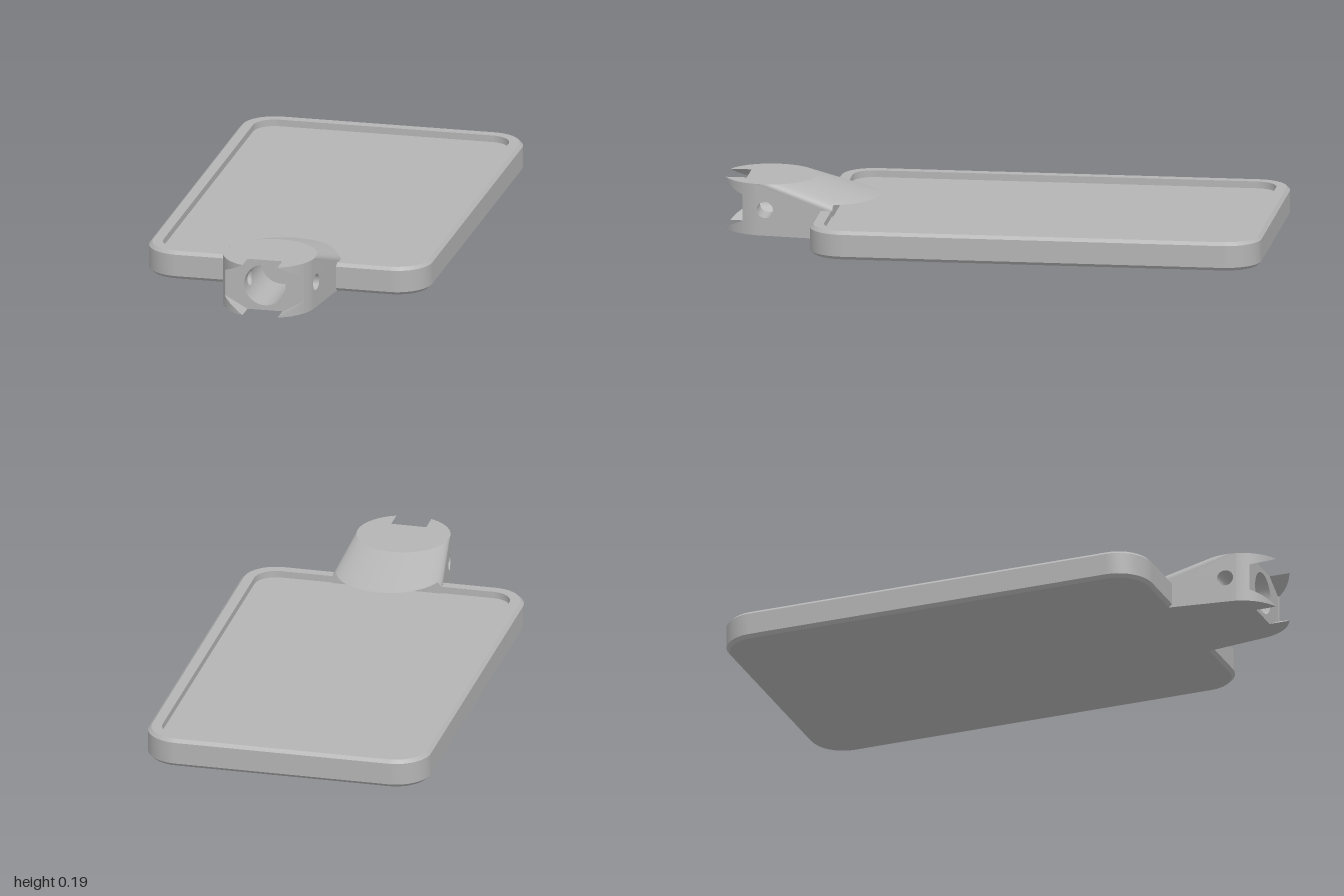
import * as THREE from 'three';

const V = (x, y, z) => new THREE.Vector3(x, y, z);
const range = (n, f) => Array.from({ length: n + 1 }, (_, i) => f(i / n));

// Surface through rows of points (all rows equally long)
function sheet(rows) {
  const n = rows[0].length, index = [];
  for (let r = 0; r < rows.length - 1; r++)
    for (let c = 0; c < n - 1; c++) {
      const a = r * n + c, b = a + n;
      index.push(a, a + 1, b, a + 1, b + 1, b);
    }
  const g = new THREE.BufferGeometry().setFromPoints(rows.flat());
  g.setIndex(index);
  g.computeVertexNormals();
  return g;
}

// Horizontal face at height y from [x, z] points
function flat(points, y, up = true) {
  const s = up ? -1 : 1;
  const shape = new THREE.Shape(points.map(([x, z]) => new THREE.Vector2(x, s * z)));
  return new THREE.ShapeGeometry(shape).rotateX(s * Math.PI / 2).translate(0, y, 0);
}

export function createModel() {
  const grey = new THREE.MeshStandardMaterial({ color: 0xb4b4b4, side: THREE.DoubleSide });
  const model = new THREE.Group();
  const group = (name) => {
    const g = new THREE.Group();
    g.name = name;
    model.add(g);
    return g;
  };
  const add = (parent, name, geometry) => {
    const m = new THREE.Mesh(geometry, grey);
    m.name = name;
    parent.add(m);
  };

  // ---- Tray: rounded rectangle with chamfered edges and a shallow recess
  const tray = group('tray');
  const contour = (inset) => {
    const r = 0.13 - inset, pts = [];
    [[1, 1], [-1, 1], [-1, -1], [1, -1]].forEach(([sx, sz], k) => {
      for (let i = 0; i <= 10; i++) {
        const a = (k + i / 10) * Math.PI / 2;
        pts.push([sx * 0.395 + r * Math.cos(a), -0.1775 + sz * 0.6925 + r * Math.sin(a)]);
      }
    });
    return pts;
  };
  const floorY = 0.08, topY = 0.105;
  const profile = [[0.012, 0], [0, 0.012], [0, 0.093], [0.012, topY], [0.05, topY], [0.05, floorY]];
  const names = ['lowerChamfer', 'trayWall', 'upperChamfer', 'rim', 'recessWall'];
  const rings = profile.map(([d, y]) => {
    const p = contour(d).map(([x, z]) => V(x, y, z));
    return [...p, p[0].clone()];
  });
  names.forEach((name, i) => add(tray, name, sheet([rings[i + 1], rings[i]])));
  add(tray, 'trayBottom', flat(contour(0.012), 0, false));
  add(tray, 'recessFloor', flat(contour(0.05), floorY));

  // ---- Connector: blend of a tall round boss and a wide low disc
  const connector = group('connector');
  const R = 0.17, cz = 0.84, H = 0.19, midY = 0.095;     // boss
  const discR = 0.205, discZ = 0.58, slotY = 0.125, slotZ = 0.59;
  const cosT = (discR - R) / (cz - discZ), sinT = Math.sqrt(1 - cosT * cosT);
  const tanZ = cz + R * cosT, lowZ = discZ + discR * cosT;
  const arcZ = (x) => cz + Math.sqrt(R * R - x * x);
  const wallX = (z) => z > tanZ ? Math.sqrt(R * R - (z - cz) ** 2)
    : sinT * (R + (discR - R) * (tanZ - z) / (tanZ - lowZ));

  // Sloping tongue, cut off above the recess
  const a0 = Math.acos(cosT);
  const tongue = range(64, (t) => {
    const a = a0 + t * 2 * (Math.PI - a0), s = Math.sin(a), c = Math.cos(a);
    const low = V(discR * s, topY, discZ + discR * c), high = V(R * s, H, cz + R * c);
    const cut = Math.min((slotY - topY) / (H - topY), (slotZ - low.z) / (high.z - low.z));
    return [low.lerp(high, Math.max(0, cut)), high];
  });
  add(connector, 'tongueSlope', sheet([tongue.map((p) => p[1]), tongue.map((p) => p[0])]));
  const lip = tongue.map((p) => p[0]).filter((p) => p.y > slotY - 0.001);
  add(connector, 'tongueUnderside',
    flat([...lip.map((p) => [p.x, p.z]), [lip.at(-1).x, slotZ], [lip[0].x, slotZ]], slotY, false));
  add(connector, 'tongueRoot', sheet([
    [V(-0.204, floorY, slotZ), V(0.204, floorY, slotZ)],
    [V(-0.204, topY, slotZ), V(0.204, topY, slotZ)],
    [V(lip.at(-1).x, slotY, slotZ), V(lip[0].x, slotY, slotZ)]]));

  // Top and bottom faces with the front notch
  const notchX = 0.065, sideX = 0.147, socketZ = 0.92;
  const half = [[notchX, socketZ]];
  const aNotch = Math.asin(notchX / R);
  range(16, (t) => {
    const a = aNotch + t * (a0 - aNotch);
    half.push([R * Math.sin(a), cz + R * Math.cos(a)]);
  });
  const mirrored = (pts) => [...pts, ...pts.map(([x, z]) => [-x, z]).reverse()];
  const back = range(24, (t) => {
    const a = a0 + t * (Math.PI - a0);
    return [R * Math.sin(a), cz + R * Math.cos(a)];
  }).slice(1);
  add(connector, 'connectorTop', flat(mirrored([...half, ...back.slice(0, -1), [0.0001, cz - R]]), H));
  add(connector, 'connectorBottom', flat(mirrored([...half, [wallX(0.633), 0.633]]), 0, false));

  // Side walls, pin holes, front horns and socket faces
  const holeR = 0.03, boreR = 0.077, flatEnd = 0.88;
  const boreX = (dy) => Math.sqrt(boreR * boreR - dy * dy);
  const circle = range(32, (t) => [Math.cos(t * 2 * Math.PI), Math.sin(t * 2 * Math.PI)]);
  for (const s of [1, -1]) {
    const wall = new THREE.Shape([[lowZ, 0], [tanZ, 0], [flatEnd, 0], [flatEnd, H], [tanZ, H], [lowZ, topY]]
      .map(([z, y]) => new THREE.Vector2(z, y)));
    wall.holes.push(new THREE.Path().absarc(cz, midY, holeR, 0, Math.PI * 2));
    const side = new THREE.ShapeGeometry(wall, 16);
    const p = side.attributes.position;
    for (let i = 0; i < p.count; i++) {
      const z = p.getX(i);
      p.setXYZ(i, s * wallX(z), p.getY(i), z);
    }
    if (s > 0) side.index.array.reverse();
    side.computeVertexNormals();
    add(connector, 'sideWall', side);

    add(connector, 'pinHole', sheet([
      circle.map(([c, d]) => V(s * wallX(cz + holeR * c), midY + holeR * d, cz + holeR * c)),
      circle.map(([c, d]) => V(s * boreX(holeR * d), midY + holeR * d, cz + holeR * c))]));

    // Bore wall around the pin hole
    add(connector, 'borePatch', sheet([holeR, 0.035].map((r, k) => circle.map(([c, d]) => {
      const f = k ? r / Math.max(Math.abs(c), Math.abs(d)) : r;
      return V(s * boreX(f * d), midY + f * d, cz + f * c);
    }))));

    for (const v of [1, -1]) {
      const edge = (x) => midY + v * (0.05 + 0.045 * (sideX - x) / (sideX - notchX));
      const xs = range(10, (t) => sideX + t * (notchX - sideX));
      const cheek = range(5, (t) => flatEnd + t * (arcZ(sideX) - flatEnd));
      add(connector, 'frontCheek', sheet([
        cheek.map((z) => V(s * wallX(z), midY, z)),
        cheek.map((z) => V(s * wallX(z), midY + v * midY, z))]));
      add(connector, 'horn', sheet([
        xs.map((x) => V(s * x, edge(x), arcZ(x))),
        xs.map((x) => V(s * x, midY + v * midY, arcZ(x)))]));
      add(connector, 'socketSlant', sheet([
        xs.map((x) => V(s * x, edge(x), socketZ)),
        xs.map((x) => V(s * x, edge(x), arcZ(x)))]));
    }
    add(connector, 'socketSide', sheet([socketZ, arcZ(sideX)].map((z) =>
      [V(s * sideX, midY - 0.05, z), V(s * sideX, midY + 0.05, z)])));
  }

  // Socket floor with the round bore behind it
  const socket = new THREE.Shape([[sideX, 0.05], [notchX, midY], [-notchX, midY], [-sideX, 0.05],
    [-sideX, -0.05], [-notchX, -midY], [notchX, -midY], [sideX, -0.05]]
    .map(([x, y]) => new THREE.Vector2(x, y)));
  socket.holes.push(new THREE.Path().absarc(0, 0, boreR, 0, Math.PI * 2));
  add(connector, 'socketFloor', new THREE.ShapeGeometry(socket, 24).translate(0, midY, socketZ));

  const boreBand = (from, to, start, sweep) => sheet([from, to].map((z) => range(40, (t) => {
    const a = start + t * sweep;
    return V(boreR * Math.cos(a), midY + boreR * Math.sin(a), z);
  })));
  const boreEnd = 0.66, gap = Math.asin(0.035 / boreR);
  add(connector, 'boreFront', boreBand(cz + 0.035, socketZ, 0, Math.PI * 2));
  add(connector, 'boreRear', boreBand(boreEnd, cz - 0.035, 0, Math.PI * 2));
  for (const start of [gap, Math.PI + gap])
    add(connector, 'boreMiddle', boreBand(cz - 0.035, cz + 0.035, start, Math.PI - 2 * gap));
  add(connector, 'boreEnd', new THREE.CircleGeometry(boreR, 40).translate(0, midY, boreEnd));

  return model;
}
